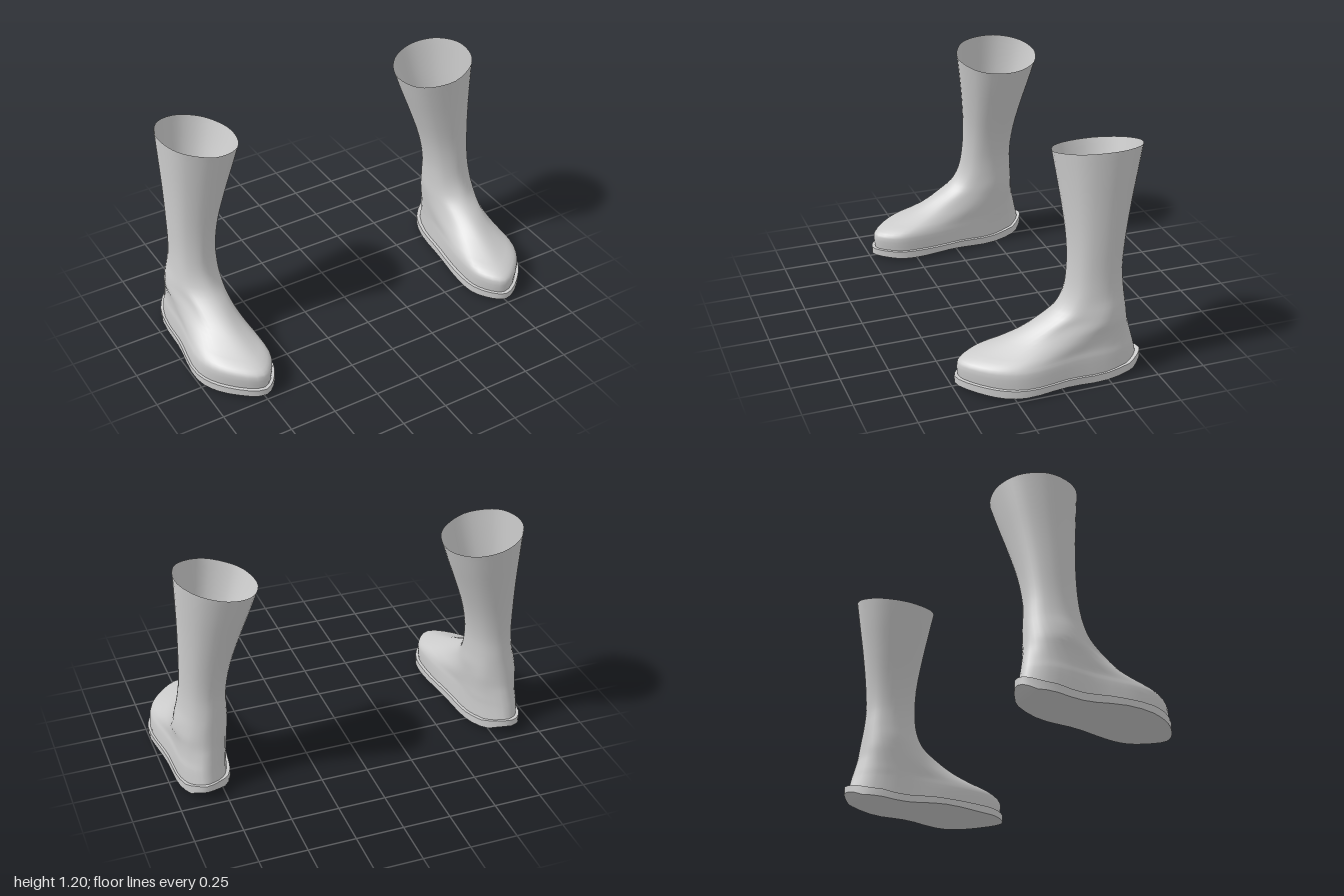
import * as THREE from 'three';
import { toCreasedNormals } from 'three/addons/utils/BufferGeometryUtils.js';

const COLS = 40;
// where the side points of a ring sit, as fractions from its front to its back
const STATIONS = [0.12, 0.3, 0.62, 0.9];

// front y,z,x | back y,z,x | inner x at the stations | outer x at the stations
const FOOT = [
  [0.050, 0.465, 0.745, 0.080, -0.440, 0.840, 0.650, 0.635, 0.670, 0.725, 0.900, 0.985, 0.955, 0.930],
  [0.125, 0.470, 0.745, 0.140, -0.425, 0.840, 0.648, 0.633, 0.670, 0.720, 0.900, 0.980, 0.950, 0.930],
  [0.152, 0.440, 0.750, 0.180, -0.415, 0.835, 0.658, 0.642, 0.672, 0.715, 0.895, 0.965, 0.943, 0.925],
  [0.187, 0.340, 0.760, 0.220, -0.405, 0.830, 0.685, 0.662, 0.672, 0.715, 0.880, 0.940, 0.942, 0.920],
  [0.237, 0.210, 0.775, 0.260, -0.395, 0.825, 0.710, 0.680, 0.672, 0.715, 0.870, 0.918, 0.944, 0.915],
  [0.298, 0.090, 0.785, 0.310, -0.388, 0.820, 0.722, 0.688, 0.672, 0.715, 0.872, 0.908, 0.950, 0.908],
  [0.360, -0.010, 0.793, 0.370, -0.382, 0.812, 0.722, 0.685, 0.672, 0.720, 0.878, 0.918, 0.940, 0.890],
];

// y, front z, back z, inner x, outer x, sideways slope of the ring
const SHAFT = [
  [0.44, -0.062, -0.376, 0.673, 0.922, 0],
  [0.55, -0.083, -0.370, 0.670, 0.909, 0],
  [0.70, -0.088, -0.386, 0.642, 0.905, 0.03],
  [0.88, -0.073, -0.422, 0.587, 0.904, 0.1],
  [1.03, -0.054, -0.458, 0.538, 0.907, 0.17],
  [1.155, -0.036, -0.487, 0.500, 0.910, 0.22],
];

const SOLE = [0.05, 0.485, 0.745, 0.08, -0.46, 0.85,
  0.638, 0.617, 0.655, 0.712, 0.910, 0.997, 0.966, 0.940];

// heights of the sole's two faces along the foot, as z,y pairs from heel to toe
const SOLE_TOP = [[-0.46, 0.085], [-0.36, 0.058], [-0.2, 0.04], [0, 0.054], [0.25, 0.052], [0.49, 0.055]];
const SOLE_BOTTOM = [[-0.46, 0.048], [-0.39, 0.017], [-0.2, 0], [0.05, 0.019], [0.28, 0.01], [0.49, 0.018]];

function heightAt(pairs, z) {
  let i = 0;
  while (i < pairs.length - 2 && z > pairs[i + 1][0]) i++;
  const [z0, y0] = pairs[i], [z1, y1] = pairs[i + 1];
  return y0 + (y1 - y0) * THREE.MathUtils.smoothstep(z, z0, z1);
}

// closed ring of points: front, outer side, back, inner side
function footRing([yf, zf, xf, yb, zb, xb, ...sides]) {
  const at = (x, t) => new THREE.Vector3(x, yf + (yb - yf) * t, zf + (zb - zf) * t);
  const inner = STATIONS.map((t, i) => at(sides[i], t));
  const outer = STATIONS.map((t, i) => at(sides[i + 4], t));
  const curve = new THREE.CatmullRomCurve3([at(xf, 0), ...outer, at(xb, 1), ...inner.reverse()], true);
  return Array.from({ length: COLS }, (_, i) => curve.getPoint(i / COLS));
}

// elliptical ring with the same point layout
function shaftRing([y, zf, zb, xi, xo, slope]) {
  const cx = (xi + xo) / 2, r = (xo - xi) / 2;
  const half = STATIONS.map((t) => r * Math.sqrt(1 - (1 - 2 * t) ** 2));
  const ring = footRing([y, zf, cx, y, zb, cx, ...half.map((h) => cx - h), ...half.map((h) => cx + h)]);
  ring.forEach((p) => { p.y += (p.x - cx) * slope; });
  return ring;
}

// skin between rings of equal length
function loft(rings) {
  const positions = [], index = [];
  rings.forEach((ring) => ring.forEach((p) => positions.push(p.x, p.y, p.z)));
  for (let j = 0; j < rings.length - 1; j++) {
    for (let i = 0; i < COLS; i++) {
      const a = j * COLS + i, b = j * COLS + (i + 1) % COLS;
      index.push(a, b, b + COLS, a, b + COLS, a + COLS);
    }
  }
  const geometry = new THREE.BufferGeometry();
  geometry.setAttribute('position', new THREE.Float32BufferAttribute(positions, 3));
  geometry.setIndex(index);
  geometry.computeVertexNormals();
  return geometry;
}

// thin upper: foot rings climb the instep and turn into the shaft
function upperGeometry() {
  const rings = [...FOOT.map(footRing), ...SHAFT.map(shaftRing)];
  rings[0].forEach((p) => { p.y = heightAt(SOLE_TOP, p.z) - 0.006; });
  const columns = rings[0].map((_, i) => new THREE.CatmullRomCurve3(rings.map((r) => r[i])));
  const rows = (rings.length - 1) * 3;
  return loft(Array.from({ length: rows + 1 }, (_, j) => columns.map((c) => c.getPoint(j / rows))));
}

// wavy slab: each face runs from the outline to the centre line
function soleGeometry() {
  const outline = footRing(SOLE);
  const middle = outline.map((p, i) => p.clone().add(outline[(COLS - i) % COLS]).multiplyScalar(0.5));
  const lay = (ring, pairs) => ring.map((p) => new THREE.Vector3(p.x, heightAt(pairs, p.z), p.z));
  return toCreasedNormals(loft([
    lay(middle, SOLE_BOTTOM), lay(outline, SOLE_BOTTOM),
    lay(outline, SOLE_TOP), lay(middle, SOLE_TOP),
  ]), 0.7);
}

export function createModel() {
  const model = new THREE.Group();
  model.name = 'bootPair';
  const material = new THREE.MeshStandardMaterial({ color: 0xcccccc, side: THREE.DoubleSide });
  const parts = { upper: upperGeometry(), sole: soleGeometry() };

  for (const side of [1, -1]) {
    const boot = new THREE.Group();
    boot.name = side > 0 ? 'leftBoot' : 'rightBoot';
    for (const [name, geometry] of Object.entries(parts)) {
      const mesh = new THREE.Mesh(geometry, material);
      mesh.name = name;
      boot.add(mesh);
    }
    boot.scale.x = side;
    model.add(boot);
  }
  return model;
}
